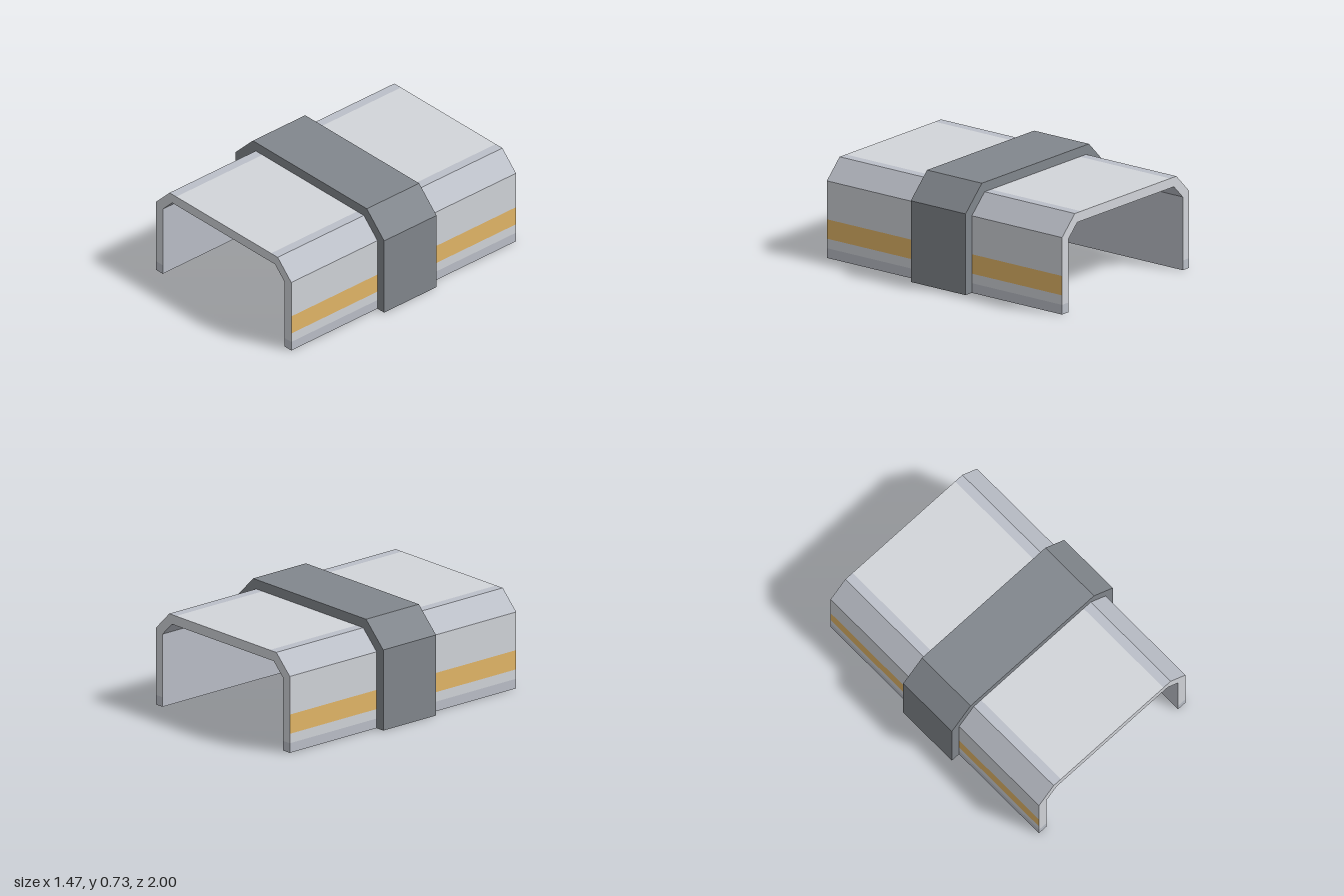
import * as THREE from 'three';

const LIGHT = 0xd2d5da, TRIM = 0xbcc0c9, DARK = 0x82878d, YELLOW = 0xe4b768;
const HALF = 1;       // half length of the tunnel
const SKIRT = 0.067;  // height of the darker foot band

const paint = (color) => new THREE.MeshStandardMaterial({ color, flatShading: true });

// Half-octagon arch, listed from the left foot over the top to the right foot
const arch = (w, h, cx, cy, foot = 0) => [
  [w, foot], [w, cy], [cx, h], [-cx, h], [-w, cy], [-w, foot],
];
const outer = (foot) => arch(0.667, 0.667, 0.533, 0.533, foot);
const inner = (foot) => arch(0.6, 0.6, 0.507, 0.507, foot).reverse();
const toShape = (pts) => new THREE.Shape(pts.map(([x, y]) => new THREE.Vector2(x, y)));

export function createModel() {
  const model = new THREE.Group();
  const add = (parent, name, geometry, color) => {
    const mesh = new THREE.Mesh(geometry, paint(color));
    mesh.name = name;
    parent.add(mesh);
    return mesh;
  };

  const shell = new THREE.Group();
  shell.name = 'tunnelShell';
  model.add(shell);

  // Sweeps a line of the cross-section along the full length
  const panel = (name, pts, color) => {
    const pos = [];
    for (let i = 0; i + 1 < pts.length; i++) {
      const [ax, ay] = pts[i], [bx, by] = pts[i + 1];
      pos.push(ax, ay, HALF, ax, ay, -HALF, bx, by, -HALF);
      pos.push(ax, ay, HALF, bx, by, -HALF, bx, by, HALF);
    }
    const g = new THREE.BufferGeometry();
    g.setAttribute('position', new THREE.Float32BufferAttribute(pos, 3));
    g.computeVertexNormals();
    return add(shell, name, g, color);
  };

  // Outer skin: bands on each wall, chamfers and roof
  const bands = [
    ['lowerWall', SKIRT, 0.133, LIGHT],
    ['stripe', 0.133, 0.267, YELLOW],
    ['upperWall', 0.267, 0.533, LIGHT],
  ];
  for (const [side, s] of [['left', 1], ['right', -1]]) {
    const dir = (pts) => (s > 0 ? pts : pts.map(([x, y]) => [-x, y]).reverse());
    panel(`${side}Skirt`, dir([[0.6, 0], [0.667, 0], [0.667, SKIRT]]), TRIM);
    for (const [name, y0, y1, color] of bands)
      panel(`${side}_${name}`, dir([[0.667, y0], [0.667, y1]]), color);
    panel(`${side}Chamfer`, dir([[0.667, 0.533], [0.533, 0.667], [0.467, 0.667]]), TRIM);
  }
  panel('roof', [[0.467, 0.667], [-0.467, 0.667]], LIGHT);

  // Inner lining
  panel('lining', inner(0), TRIM);

  // End faces, front and back, with darker feet
  const rim = toShape([...outer(SKIRT), ...inner(SKIRT)]);
  for (const [end, turn] of [['front', 0], ['back', Math.PI]]) {
    const cap = new THREE.Group();
    cap.name = `${end}End`;
    cap.rotation.y = turn;
    shell.add(cap);
    add(cap, `${end}Rim`, new THREE.ShapeGeometry(rim), LIGHT).position.z = HALF;
    for (const s of [1, -1])
      add(cap, `${end}Foot`, new THREE.PlaneGeometry(0.067, SKIRT), TRIM)
        .position.set(s * 0.6335, SKIRT / 2, HALF);
  }

  // Collar wrapped around the middle
  const collar = new THREE.ExtrudeGeometry(
    toShape([...arch(0.733, 0.733, 0.562, 0.562), ...outer(0).reverse()]),
    { depth: 0.466, bevelEnabled: false },
  );
  add(model, 'collar', collar.translate(0, 0, -0.233), DARK);

  return model;
}
